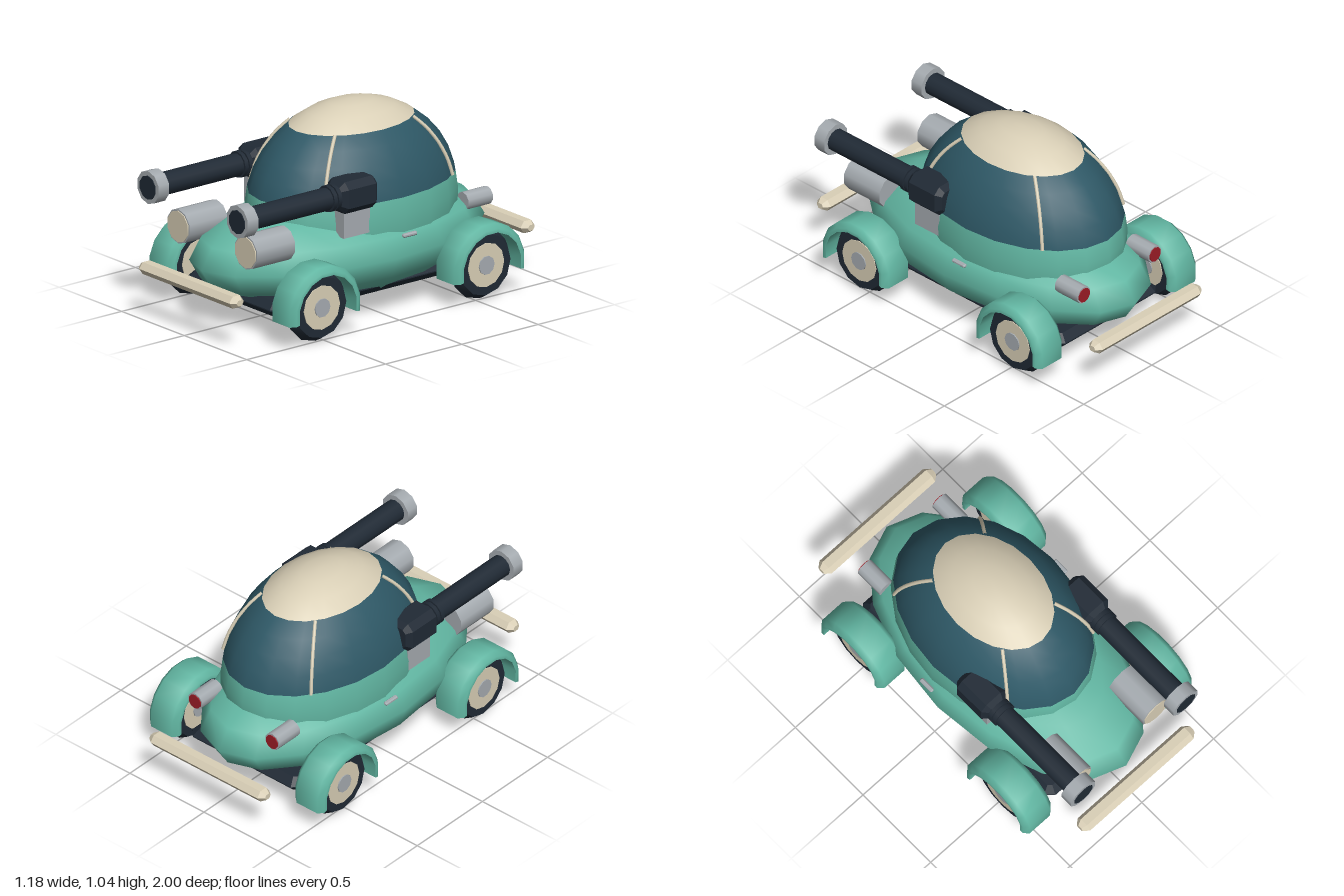
import * as THREE from 'three';
import { toCreasedNormals } from 'three/addons/utils/BufferGeometryUtils.js';

const paint = (name, color, side = THREE.FrontSide) => {
  const m = new THREE.MeshStandardMaterial({ color, side });
  m.name = name;
  return m;
};

export function createModel() {
  const green = paint('mint green', 0x62b7a3, THREE.DoubleSide);
  const glass = paint('tinted glass', 0x2e5866);
  const dark = paint('dark rubber', 0x202a35);
  const cream = paint('cream', 0xdad0b7);
  const grey = paint('metal grey', 0xa6acb1);
  const red = paint('tail red', 0x9c1c26);

  const car = new THREE.Group();
  car.name = 'armedBubbleCar';
  const add = (name, geo, mat, x = 0, y = 0, z = 0, parent = car) => {
    const m = new THREE.Mesh(geo, mat);
    m.name = name;
    m.position.set(x, y, z);
    parent.add(m);
    return m;
  };

  // Cylinders along z and along x
  const cylZ = (r, len, n) => new THREE.CylinderGeometry(r, r, len, n).rotateX(Math.PI / 2);
  const cylX = (r, len, n) => new THREE.CylinderGeometry(r, r, len, n).rotateZ(-Math.PI / 2);
  const lathe = (pts, n, start = 0, len = Math.PI * 2, crease = 0.9) =>
    toCreasedNormals(new THREE.LatheGeometry(pts.map(p => new THREE.Vector2(...p)), n, start, len), crease)
      .rotateZ(-Math.PI / 2);

  // Block with cut corners (c) and bevelled end edges (b), extruded along z
  const block = (w, h, d, b, c) => {
    const x = w / 2, y = h / 2;
    const s = new THREE.Shape([
      [x, -y + c], [x, y - c], [x - c, y], [-x + c, y],
      [-x, y - c], [-x, -y + c], [-x + c, -y], [x - c, -y],
    ].map(p => new THREE.Vector2(...p)));
    return new THREE.ExtrudeGeometry(s, {
      depth: d - 2 * b, bevelEnabled: true, bevelThickness: b,
      bevelSize: b, bevelOffset: -b, bevelSegments: 1,
    }).translate(0, 0, b - d / 2);
  };

  // Lower body and chassis plate
  add('body', new THREE.SphereGeometry(1, 16, 8).scale(0.48, 0.28, 0.885), green, 0, 0.325, 0);
  add('chassis', block(0.74, 1.42, 0.082, 0.038, 0.04).rotateX(Math.PI / 2), dark, 0, 0.159, 0);

  // Dome in three bands: cabin wall, window, roof
  const R = [0.43, 0.545, 0.61], C = [0, 0.5, -0.095];
  const band = (name, mat, t0, t1, rows) => add(name,
    new THREE.SphereGeometry(1, 20, rows, 0, Math.PI * 2, t0, t1 - t0).scale(...R), mat, ...C);
  const tRoof = Math.acos(0.44 / R[1]), tWindow = Math.acos(0.12 / R[1]);
  band('roof', cream, 0, tRoof, 3);
  band('window', glass, tRoof, tWindow, 4);
  band('cabinWall', green, tWindow, 1.85, 3);

  // Window pillars following the dome
  for (const a of [0.25, 0.75, 1.25, 1.75]) {
    const pts = [];
    for (let i = 0; i <= 5; i++) {
      const t = tRoof + (tWindow - tRoof) * i / 5;
      pts.push(new THREE.Vector3(
        R[0] * Math.sin(t) * Math.sin(a * Math.PI),
        R[1] * Math.cos(t),
        R[2] * Math.sin(t) * Math.cos(a * Math.PI)));
    }
    add('windowPillar', new THREE.TubeGeometry(new THREE.CatmullRomCurve3(pts), 10, 0.01, 6), cream, ...C);
  }

  // Bumpers
  const bumper = lathe([[0, -0.39], [0.022, -0.39], [0.046, -0.36], [0.046, 0.36], [0.022, 0.39], [0, 0.39]],
    6, 0, Math.PI * 2, 0.5).scale(1, 0.8, 1);
  add('frontBumper', bumper, cream, 0, 0.268, 0.954);
  add('rearBumper', bumper, cream, 0, 0.268, -0.954);

  // Shared geometry for the wheels and fenders
  const tire = toCreasedNormals(new THREE.TorusGeometry(0.135, 0.055, 6, 12), 0.7).rotateY(Math.PI / 2);
  const fender = lathe([[0.19, -0.097], [0.21, -0.097], [0.234, -0.07], [0.234, 0.07],
    [0.21, 0.097], [0.19, 0.097], [0.19, -0.097]], 9, Math.PI - 0.2, Math.PI + 0.4);

  for (const s of [1, -1]) {
    const side = s > 0 ? 'left' : 'right';

    for (const z of [0.538, -0.538]) {
      const wheel = new THREE.Group();
      wheel.name = side + (z > 0 ? 'Front' : 'Rear') + 'Wheel';
      wheel.position.set(s * 0.487, 0.195, z);
      car.add(wheel);
      add('tire', tire, dark, 0, 0, 0, wheel);
      add('wheelDisc', cylX(0.118, 0.104, 12), cream, 0, 0, 0, wheel);
      add('hubCap', cylX(0.05, 0.116, 10), grey, 0, 0, 0, wheel);
      add(side + (z > 0 ? 'Front' : 'Rear') + 'Fender', fender, green, s * 0.491, 0.188, z);
    }

    // Lamps
    add(side + 'Headlight', cylZ(0.092, 0.25, 10), grey, s * 0.27, 0.48, 0.692);
    add(side + 'HeadlightLens', cylZ(0.084, 0.008, 10), cream, s * 0.27, 0.48, 0.818);
    add(side + 'TailLight', cylZ(0.048, 0.16, 10), grey, s * 0.26, 0.45, -0.692);
    add(side + 'TailLens', cylZ(0.04, 0.008, 10), red, s * 0.26, 0.45, -0.773);

    // Door handle
    add(side + 'DoorHandle', block(0.024, 0.02, 0.09, 0.006, 0.006), grey, s * 0.466, 0.435, -0.095);

    // Cannon on its side mount
    const gun = new THREE.Group();
    gun.name = side + 'Cannon';
    gun.position.set(s * 0.357, 0.692, 0);
    car.add(gun);
    add('breech', block(0.17, 0.17, 0.235, 0.028, 0.035), dark, 0, 0, 0.192, gun);
    add('barrel', cylZ(0.06, 0.6, 12), dark, 0, 0, 0.59, gun);
    for (const z of [0.322, 0.352]) add('barrelRing', cylZ(0.07, 0.022, 12), dark, 0, 0, z, gun);
    add('muzzle', cylZ(0.088, 0.07, 10), grey, 0, 0, 0.91, gun);
    add('muzzleBore', cylZ(0.064, 0.008, 10), dark, 0, 0, 0.945, gun);
    add('mount', new THREE.BoxGeometry(0.075, 0.16, 0.17), grey, s * 0.005, -0.14, 0.195, gun);
  }
  return car;
}
